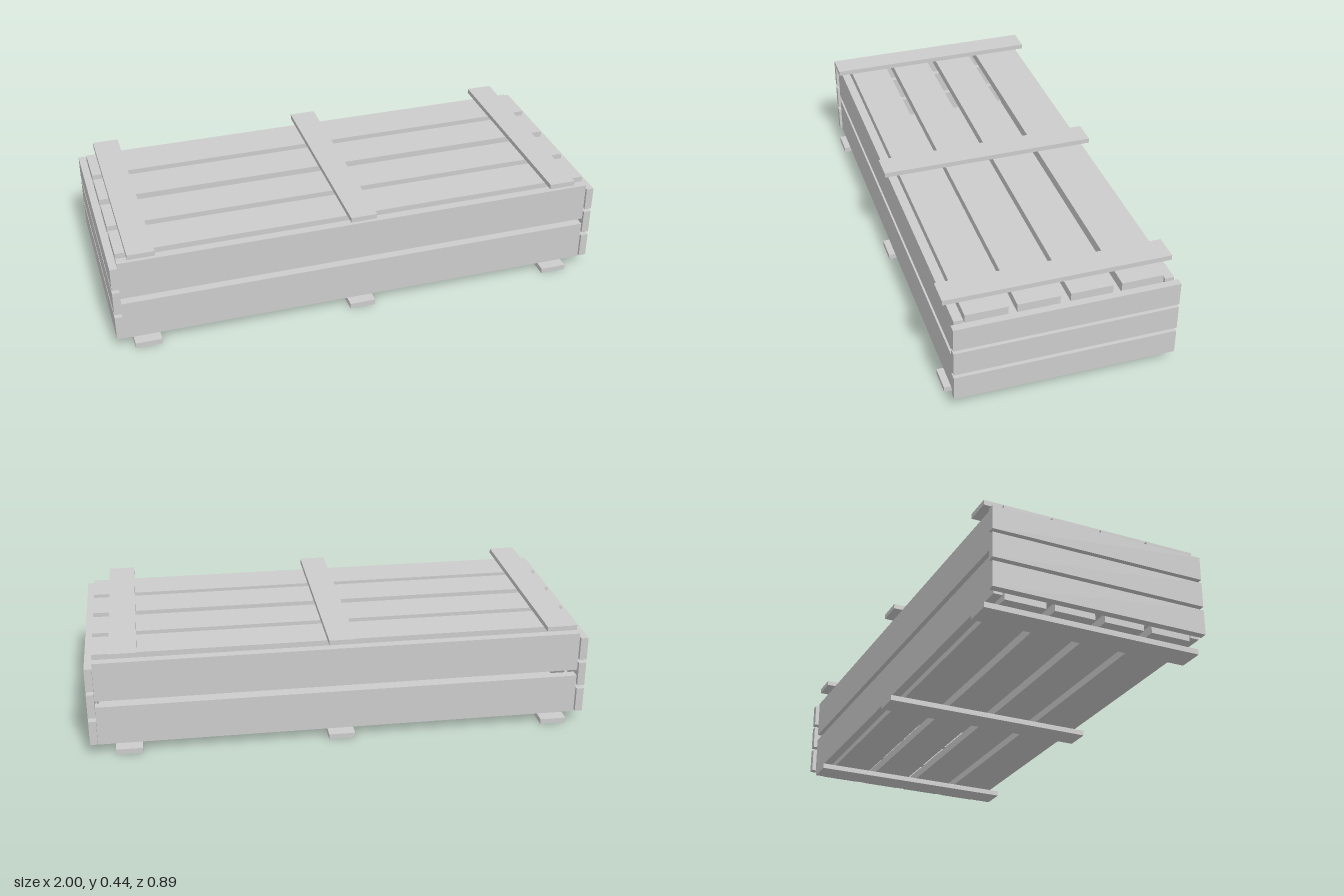
import * as THREE from 'three';

const material = new THREE.MeshStandardMaterial({ color: 0xcccccc, flatShading: true });

// Plank given by its extents along each axis
function plank(name, [x0, x1], [y0, y1], [z0, z1]) {
  const mesh = new THREE.Mesh(new THREE.BoxGeometry(x1 - x0, y1 - y0, z1 - z0), material);
  mesh.position.set((x0 + x1) / 2, (y0 + y1) / 2, (z0 + z1) / 2);
  mesh.name = name;
  return mesh;
}

export function createModel() {
  const crate = new THREE.Group();
  crate.name = 'crate';
  const groups = {};
  for (const name of ['floor', 'lid', 'longSides', 'ends', 'battens']) {
    groups[name] = new THREE.Group();
    groups[name].name = name;
    crate.add(groups[name]);
  }
  const length = [-0.97, 0.97];

  // Four slats each for floor and lid
  for (const z of [-0.3, -0.102, 0.102, 0.299]) {
    const width = [z - 0.082, z + 0.082];
    groups.floor.add(plank('floorSlat', length, [0.025, 0.06], width));
    groups.lid.add(plank('lidSlat', length, [0.376, 0.411], width));
  }

  // Two wide boards on each long side
  for (const height of [[0.04, 0.204], [0.23, 0.392]]) {
    groups.longSides.add(plank('frontBoard', length, height, [0.386, 0.422]));
    groups.longSides.add(plank('backBoard', length, height, [-0.425, -0.389]));
  }

  // Three narrow boards on each end
  for (const height of [[0.05, 0.152], [0.167, 0.268], [0.282, 0.378]]) {
    groups.ends.add(plank('leftEndBoard', [0.97, 1], height, [-0.442, 0.433]));
    groups.ends.add(plank('rightEndBoard', [-1, -0.97], height, [-0.442, 0.433]));
  }

  // Cross battens under the floor and over the lid
  for (const x of [-0.879, 0, 0.849]) {
    const width = [x - 0.053, x + 0.053];
    groups.battens.add(plank('bottomBatten', width, [0, 0.022], [-0.444, 0.444]));
    groups.battens.add(plank('topBatten', width, [0.418, 0.438], [-0.444, 0.444]));
  }
  return crate;
}
